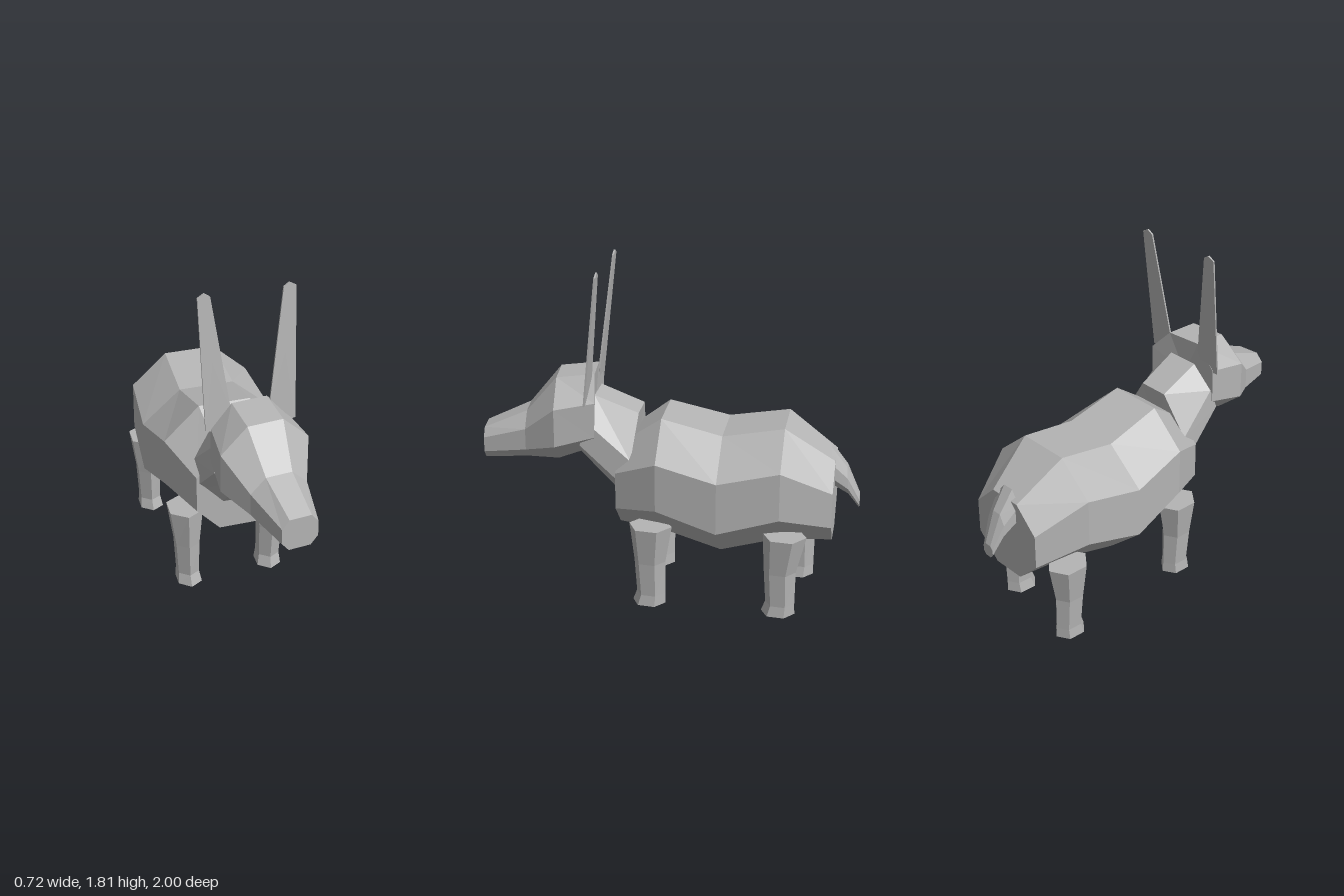
import * as THREE from 'three';

const hide = new THREE.MeshStandardMaterial({ color: 0xb4b4b4, flatShading: true });
hide.name = 'greyHide';

// Closed, capped skin over equal-length rings, each counter-clockwise seen from the end of the path
function loft(name, rings) {
  const pos = [];
  const tri = (...p) => p.forEach(v => pos.push(...v));
  const n = rings[0].length;
  for (let r = 0; r + 1 < rings.length; r++) {
    const a = rings[r], b = rings[r + 1];
    for (let i = 0; i < n; i++) {
      const j = (i + 1) % n;
      tri(a[i], a[j], b[j]);
      tri(a[i], b[j], b[i]);
    }
  }
  const cap = (ring, flip) => {
    const c = [0, 1, 2].map(k => ring.reduce((s, p) => s + p[k], 0) / n);
    for (let i = 0; i < n; i++) {
      const p = ring[i], q = ring[(i + 1) % n];
      flip ? tri(c, q, p) : tri(c, p, q);
    }
  };
  cap(rings[0], true);
  cap(rings[rings.length - 1], false);
  const geo = new THREE.BufferGeometry();
  geo.setAttribute('position', new THREE.Float32BufferAttribute(pos, 3));
  geo.computeVertexNormals();
  const mesh = new THREE.Mesh(geo, hide);
  mesh.name = name;
  return mesh;
}

// Octagon: z and y run through bottom, lower side, upper side, top; turn slants it about y
function octagon({ x = 0, side, flat, z, y, turn = 0 }) {
  const zs = Array.isArray(z) ? z : [z, z, z, z];
  const w = [flat, side, side, flat];
  const point = (k, s) => [x + s * w[k], y[k], zs[k] - turn * s * w[k]];
  return [...[0, 1, 2, 3].map(k => point(k, 1)), ...[3, 2, 1, 0].map(k => point(k, -1))];
}

// Six-sided leg with a flared hoof
function leg(name, sx, zTop, zFoot) {
  const levels = [
    [0, 0.232, 0.074, 0.09, zFoot],
    [0.06, 0.235, 0.064, 0.078, zFoot - 0.01],
    [0.25, 0.24, 0.072, 0.085, zFoot - 0.005],
    [0.46, 0.245, 0.1, 0.115, zTop],
  ];
  return loft(name, levels.map(([y, x, rx, rz, z]) =>
    Array.from({ length: 6 }, (_, i) => {
      const a = (-5 + i * 60) * Math.PI / 180;
      return [sx * x + rx * Math.sin(a), y, z + rz * Math.cos(a)];
    })));
}

// Thin tall ear, leaning back
function ear(name, s) {
  const outline = [[0.235, 1.1], [0.14, 1.09], [0.1, 1.19], [0.185, 1.79], [0.215, 1.81], [0.25, 1.79]];
  const ring = dz => outline.map(([x, y]) => [0.012 + s * x, y, 0.415 - (y - 1.1) * 0.108 + dz]);
  const order = r => (s > 0 ? r.reverse() : r);
  return loft(name, [order(ring(-0.005)), order(ring(0.004))]);
}

export function createModel() {
  const model = new THREE.Group();
  model.name = 'longEaredAnimal';

  // Barrel-shaped body, rump to chest
  model.add(loft('body', [
    { side: 0.22, flat: 0.09, z: -0.87, y: [0.38, 0.51, 0.7, 0.83] },
    { side: 0.33, flat: 0.14, z: -0.61, y: [0.39, 0.58, 0.84, 1.01] },
    { side: 0.36, flat: 0.15, z: -0.29, y: [0.3, 0.49, 0.77, 0.95] },
    { side: 0.33, flat: 0.14, z: 0.03, y: [0.39, 0.58, 0.84, 1.02] },
    { side: 0.225, flat: 0.1, z: 0.26, y: [0.4, 0.53, 0.73, 0.85] },
  ].map(octagon)));

  // Neck rising forward into the head
  model.add(loft('neck', [
    { side: 0.215, flat: 0.08, z: [0.23, 0.2, 0.18, 0.16], y: [0.53, 0.64, 0.8, 1.02] },
    { x: 0.01, side: 0.2, flat: 0.085, z: [0.47, 0.45, 0.4, 0.39], y: [0.79, 0.87, 0.99, 1.11] },
  ].map(octagon)));

  // Head, turned slightly to its left
  model.add(loft('head', [
    { x: 0.01, side: 0.205, flat: 0.095, z: [0.46, 0.39, 0.385, 0.395], y: [0.8, 0.92, 1.11, 1.23] },
    { x: 0.025, side: 0.235, flat: 0.095, z: 0.595, y: [0.75, 0.87, 1.075, 1.205] },
    { x: 0.04, side: 0.15, flat: 0.07, z: 0.76, y: [0.745, 0.815, 0.93, 1.005] },
    { x: 0.067, side: 0.096, flat: 0.058, z: 0.99, y: [0.73, 0.775, 0.855, 0.9] },
  ].map(o => octagon({ ...o, turn: 0.1 }))));

  model.add(ear('leftEar', 1), ear('rightEar', -1));

  // Legs in a slightly staggered stance
  model.add(leg('leftFrontLeg', 1, 0.07, 0.08), leg('rightFrontLeg', -1, 0.095, 0.11));
  model.add(leg('leftBackLeg', 1, -0.635, -0.61), leg('rightBackLeg', -1, -0.685, -0.67));

  // Short drooping tail, tip to root
  model.add(loft('tail', [
    { x: -0.01, side: 0.035, flat: 0.018, z: -1, y: [0.54, 0.56, 0.59, 0.61] },
    { x: -0.005, side: 0.06, flat: 0.025, z: [-0.94, -0.94, -0.935, -0.93], y: [0.62, 0.66, 0.72, 0.77] },
    { side: 0.085, flat: 0.03, z: [-0.86, -0.855, -0.85, -0.845], y: [0.67, 0.73, 0.81, 0.88] },
  ].map(octagon)));

  return model;
}
